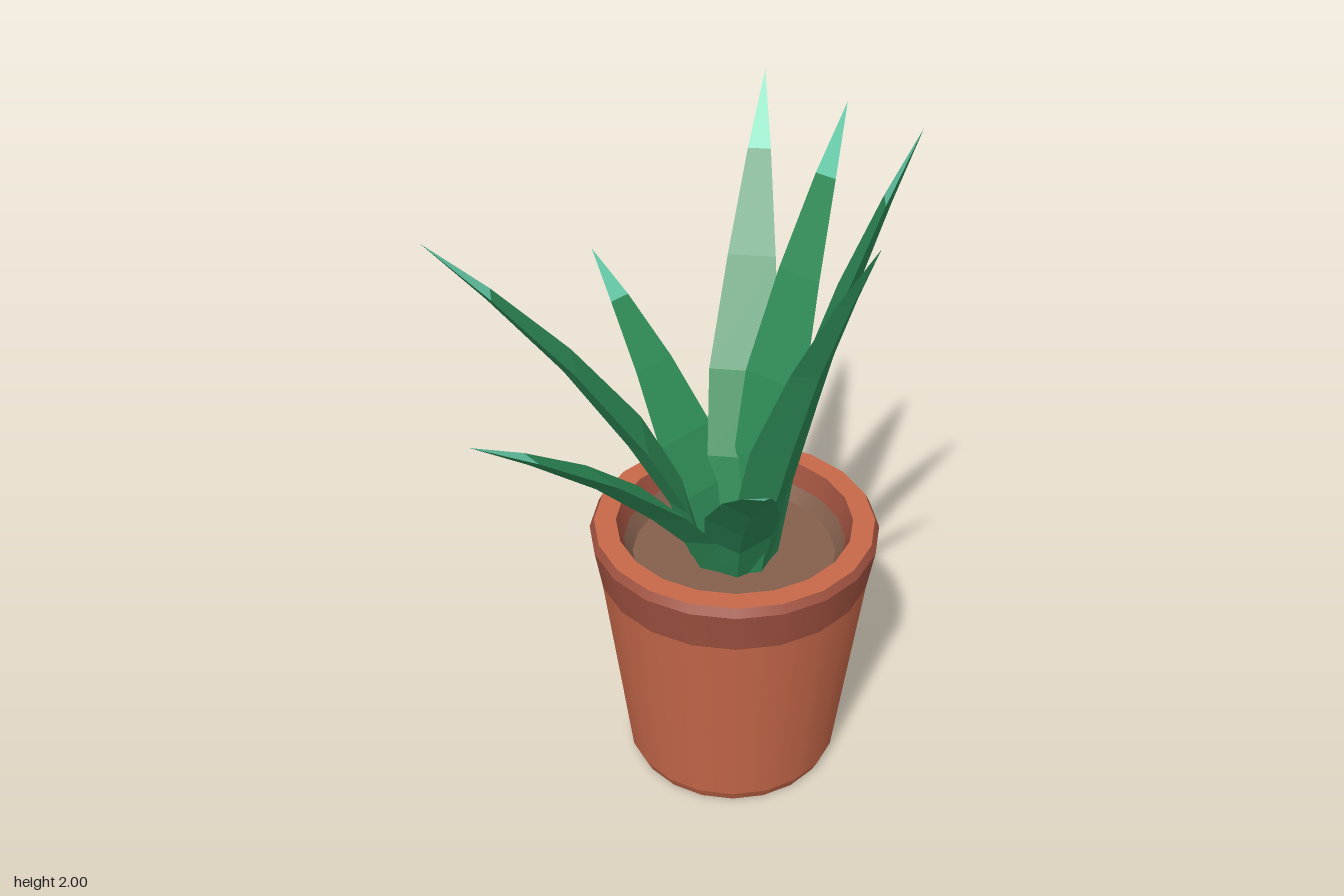
import * as THREE from 'three';

const mat = (name, color, extra = {}) => {
  const m = new THREE.MeshStandardMaterial({ color, ...extra });
  m.name = name;
  return m;
};

const SEGMENTS = 20;
const SOIL_Y = 0.7;

// Leaf rings: fraction of height, width
const RINGS = [[0, 0.15], [0.2, 0.185], [0.4, 0.2], [0.64, 0.135], [0.85, 0.065], [1, 0]];
const TIP_RING = 4;

// Tip of each leaf: x, y, z
const LEAF_TIPS = [
  [-0.62, 1.84, -0.68], [-0.19, 1.91, -0.62], [0.2, 2.0, -0.53], [0.46, 1.89, -0.18],
  [0.61, 1.46, 0.26], [0, 1.43, 0.67], [-0.44, 1.74, 0.53], [-0.62, 1.46, -0.08],
];

// Keeled leaf leaning toward +z: flat inner face, two outer faces meeting in a ridge
function leafGeometry(reach, height) {
  const r0 = 0.085;
  const centre = (f) => new THREE.Vector2(r0 + (reach - r0) * f ** 1.6, height * f);
  const rings = RINGS.map(([f, w]) => {
    const c = centre(f);
    const t = centre(f + 0.01).sub(centre(Math.max(f - 0.01, 0))).normalize();
    const depth = w * 0.27;
    return {
      left: [w / 2, c.y, c.x],
      right: [-w / 2, c.y, c.x],
      keel: [0, c.y - t.x * depth, c.x + t.y * depth],
    };
  });
  const body = [], tip = [];
  const strip = (out, i, a, b) => {
    const lo = rings[i], hi = rings[i + 1];
    out.push(...lo[a], ...lo[b], ...hi[b]);
    if (i + 2 < rings.length) out.push(...lo[a], ...hi[b], ...hi[a]);
  };
  for (let i = 0; i + 1 < rings.length; i++) {
    strip(i >= TIP_RING ? tip : body, i, 'left', 'right');
    strip(body, i, 'keel', 'left');
    strip(body, i, 'right', 'keel');
  }
  const geometry = new THREE.BufferGeometry();
  geometry.setAttribute('position', new THREE.Float32BufferAttribute([...body, ...tip], 3));
  geometry.addGroup(0, body.length / 3, 0);
  geometry.addGroup(body.length / 3, tip.length / 3, 1);
  geometry.computeVertexNormals();
  return geometry;
}

export function createModel() {
  const terracotta = mat('terracotta', 0xc8694a);
  const rimRed = mat('dark terracotta', 0xa05240);
  const earth = mat('soil brown', 0x85604d);
  const green = mat('leaf green', 0x2e8b57, { flatShading: true });
  const mint = mat('leaf tip mint', 0x66cdaa, { flatShading: true });

  const model = new THREE.Group();
  model.name = 'pottedPlant';
  const plant = new THREE.Group();
  plant.name = 'potAndLeaves';
  plant.position.set(-0.07, 0, -0.175);
  model.add(plant);

  const add = (name, geometry, material) => {
    const mesh = new THREE.Mesh(geometry, material);
    mesh.name = name;
    plant.add(mesh);
    return mesh;
  };
  // Separate lathes per section keep the edges between them sharp
  const lathe = (name, material, ...points) =>
    add(name, new THREE.LatheGeometry(points.map(([x, y]) => new THREE.Vector2(x, y)), SEGMENTS), material);

  // Pot
  lathe('potBase', terracotta, [0, 0], [0.295, 0]);
  lathe('potFoot', terracotta, [0.295, 0], [0.312, 0.035]);
  lathe('potWall', terracotta, [0.312, 0.035], [0.389, 0.66]);
  lathe('rimBand', rimRed, [0.389, 0.66], [0.41, 0.785]);
  lathe('rimBevel', rimRed, [0.41, 0.785], [0.397, 0.81]);
  lathe('rimTop', terracotta, [0.397, 0.81], [0.335, 0.81]);
  lathe('rimInside', rimRed, [0.335, 0.81], [0.315, 0.745]);
  lathe('innerWall', earth, [0.315, 0.745], [0.29, SOIL_Y]);
  lathe('soil', earth, [0.29, SOIL_Y], [0, SOIL_Y]);

  // Leaves
  for (const [x, y, z] of LEAF_TIPS) {
    const dx = x - plant.position.x, dz = z - plant.position.z;
    const leaf = add('leaf', leafGeometry(Math.hypot(dx, dz), y - SOIL_Y), [green, mint]);
    leaf.position.y = SOIL_Y;
    leaf.rotation.y = Math.atan2(dx, dz);
  }
  return model;
}
